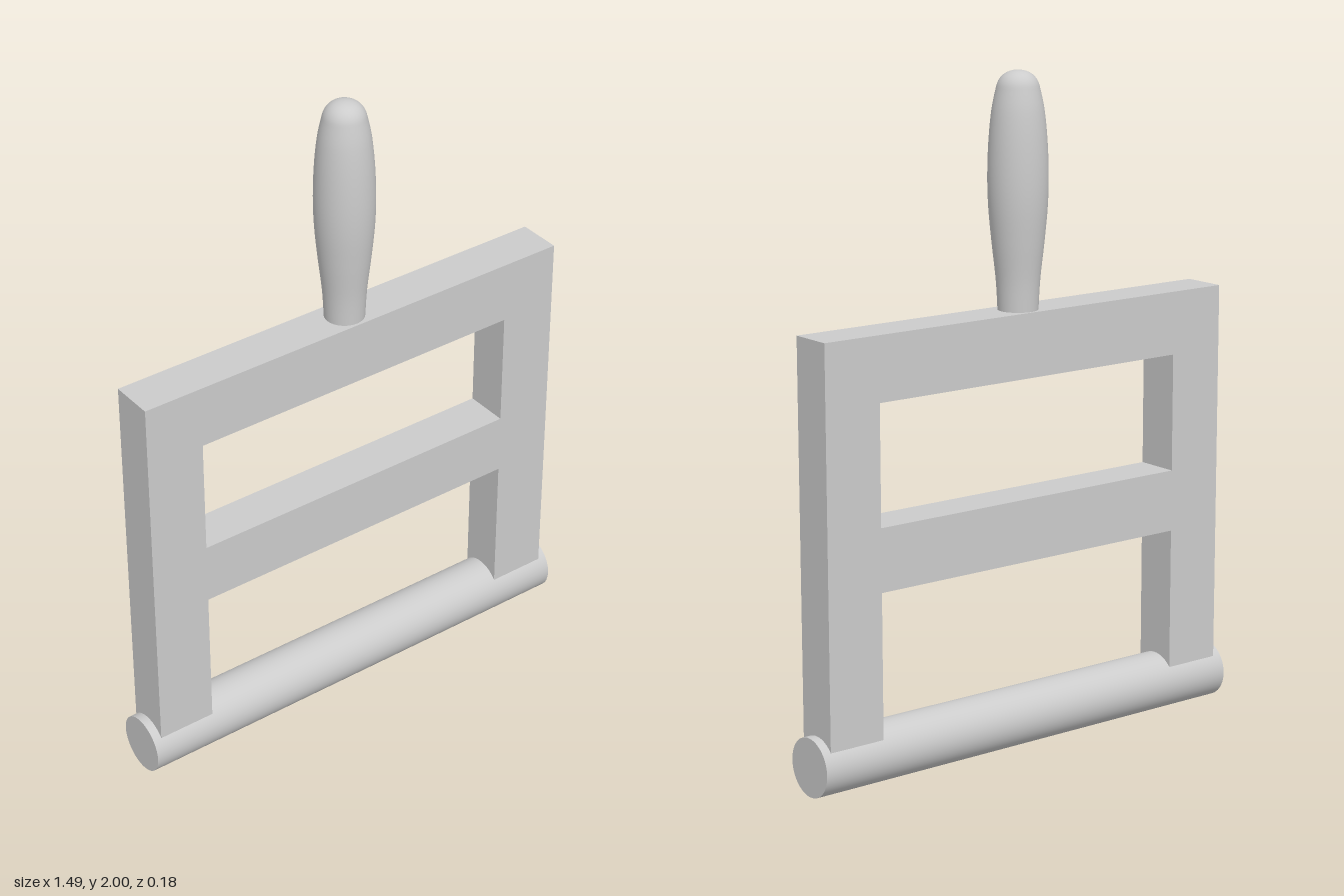
import * as THREE from 'three';

export function createModel() {
  const group = new THREE.Group();
  const material = new THREE.MeshStandardMaterial({ color: 0xcccccc });
  const add = (name, geometry) => {
    const mesh = new THREE.Mesh(geometry, material);
    mesh.name = name;
    group.add(mesh);
    return mesh;
  };
  const rect = (Type, x, y0, y1) => new Type([
    new THREE.Vector2(-x, y0), new THREE.Vector2(x, y0),
    new THREE.Vector2(x, y1), new THREE.Vector2(-x, y1),
  ]);

  // Flat frame: two legs joined by a top rail and a middle rail, open below
  const outline = new THREE.Shape([
    [-0.718, 0.09], [-0.537, 0.09], [-0.537, 0.577], [0.537, 0.577],
    [0.537, 0.09], [0.718, 0.09], [0.718, 1.313], [-0.718, 1.313],
  ].map(([x, y]) => new THREE.Vector2(x, y)));
  outline.holes.push(rect(THREE.Path, 0.537, 0.765, 1.122));
  const depth = 0.135;
  const frame = new THREE.ExtrudeGeometry(outline, { depth, bevelEnabled: false });
  add('frame', frame.translate(0, 0, -depth / 2));

  // Round bar across the feet of the legs
  const radius = 0.0875;
  const bar = new THREE.CylinderGeometry(radius, radius, 1.49, 64).rotateZ(Math.PI / 2);
  add('bottomBar', bar.translate(0, radius, 0));

  // Turned grip: slim neck, swelling body and rounded tip
  const body = new THREE.SplineCurve([
    [0.059, 1.31], [0.064, 1.4], [0.076, 1.51], [0.085, 1.61], [0.0875, 1.7],
    [0.084, 1.8], [0.075, 1.89], [0.061, 1.957],
  ].map(([r, y]) => new THREE.Vector2(r, y)));
  const tip = new THREE.CubicBezierCurve(
    new THREE.Vector2(0.061, 1.957), new THREE.Vector2(0.053, 1.985),
    new THREE.Vector2(0.03, 2), new THREE.Vector2(0, 2));
  const profile = [...body.getPoints(40), ...tip.getPoints(12).slice(1)];
  add('handle', new THREE.LatheGeometry(profile, 48));

  return group;
}
